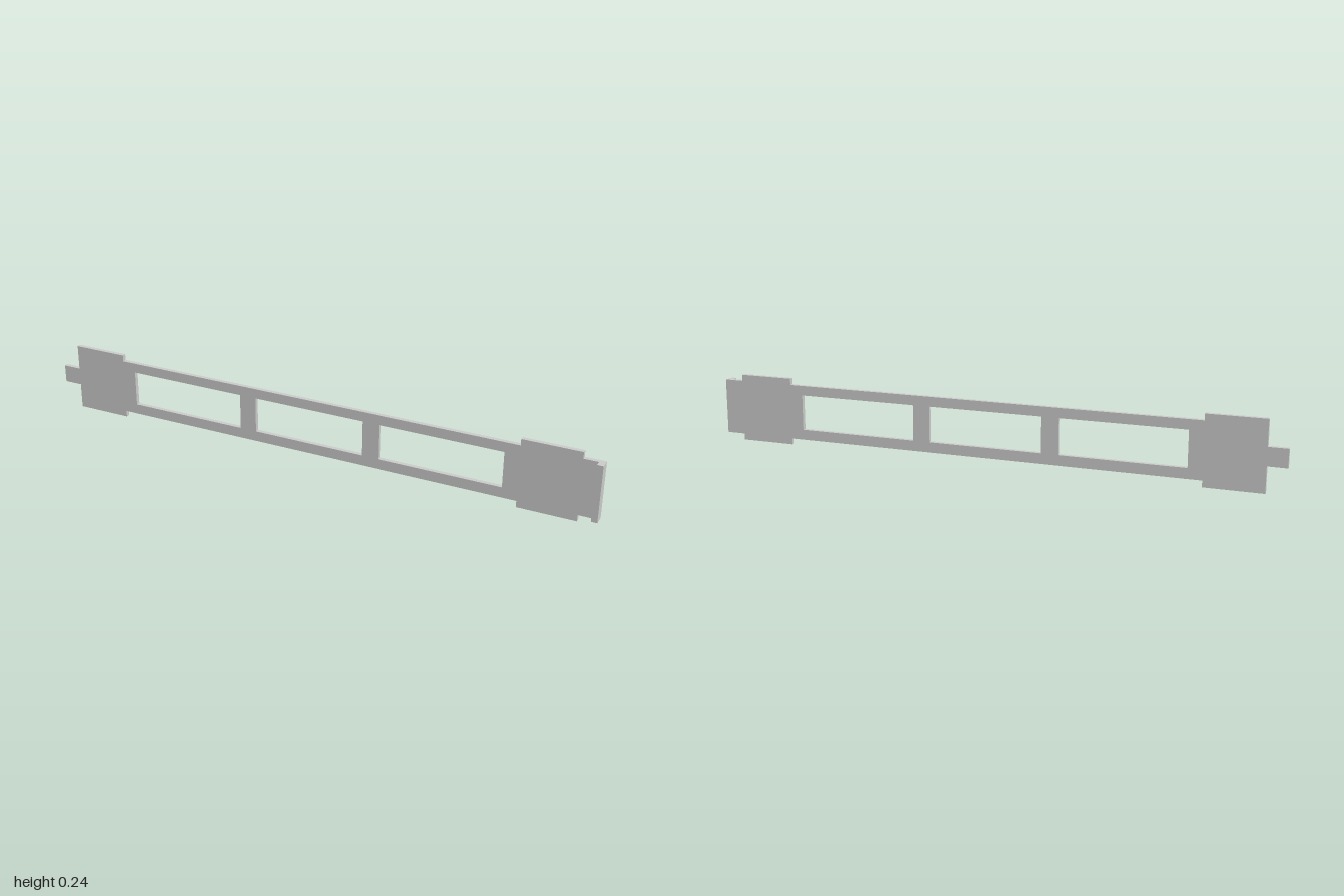
import * as THREE from 'three';

const BACK = -0.0185, THICK = 0.015, HEIGHT = 0.238;
const RAIL_LOW = 0.022, RAIL_HIGH = 0.216;

export function createModel() {
  const group = new THREE.Group();
  const material = new THREE.MeshStandardMaterial({ color: 0xcccccc, flatShading: true });

  // Flat plate outline: end tab on the right, wide pads, narrower rails between
  const outline = [
    [-1, 0.088], [-0.935, 0.088], [-0.935, 0], [-0.738, 0], [-0.738, RAIL_LOW],
    [0.736, RAIL_LOW], [0.736, 0], [0.932, 0], [0.932, RAIL_LOW], [1, RAIL_LOW],
    [1, RAIL_HIGH], [0.932, RAIL_HIGH], [0.932, HEIGHT], [0.736, HEIGHT], [0.736, RAIL_HIGH],
    [-0.738, RAIL_HIGH], [-0.738, HEIGHT], [-0.935, HEIGHT], [-0.935, 0.15], [-1, 0.15],
  ];
  const shape = new THREE.Shape(outline.map(([x, y]) => new THREE.Vector2(x, y)));

  // Three rectangular windows
  for (const [x0, x1] of [[-0.69, -0.26], [-0.2, 0.2], [0.26, 0.686]]) {
    const corners = [[x0, 0.058], [x0, 0.182], [x1, 0.182], [x1, 0.058]];
    shape.holes.push(new THREE.Path(corners.map(([x, y]) => new THREE.Vector2(x, y))));
  }
  const plate = new THREE.Mesh(
    new THREE.ExtrudeGeometry(shape, { depth: THICK, bevelEnabled: false }), material);
  plate.name = 'windowedPlate';
  plate.position.z = BACK;
  group.add(plate);

  // Forward-turned lip on the left end
  const lipDepth = 0.022;
  const lip = new THREE.Mesh(
    new THREE.BoxGeometry(0.02, RAIL_HIGH - RAIL_LOW, lipDepth), material);
  lip.name = 'endLip';
  lip.position.set(0.99, (RAIL_LOW + RAIL_HIGH) / 2, BACK + THICK + lipDepth / 2);
  group.add(lip);

  return group;
}
